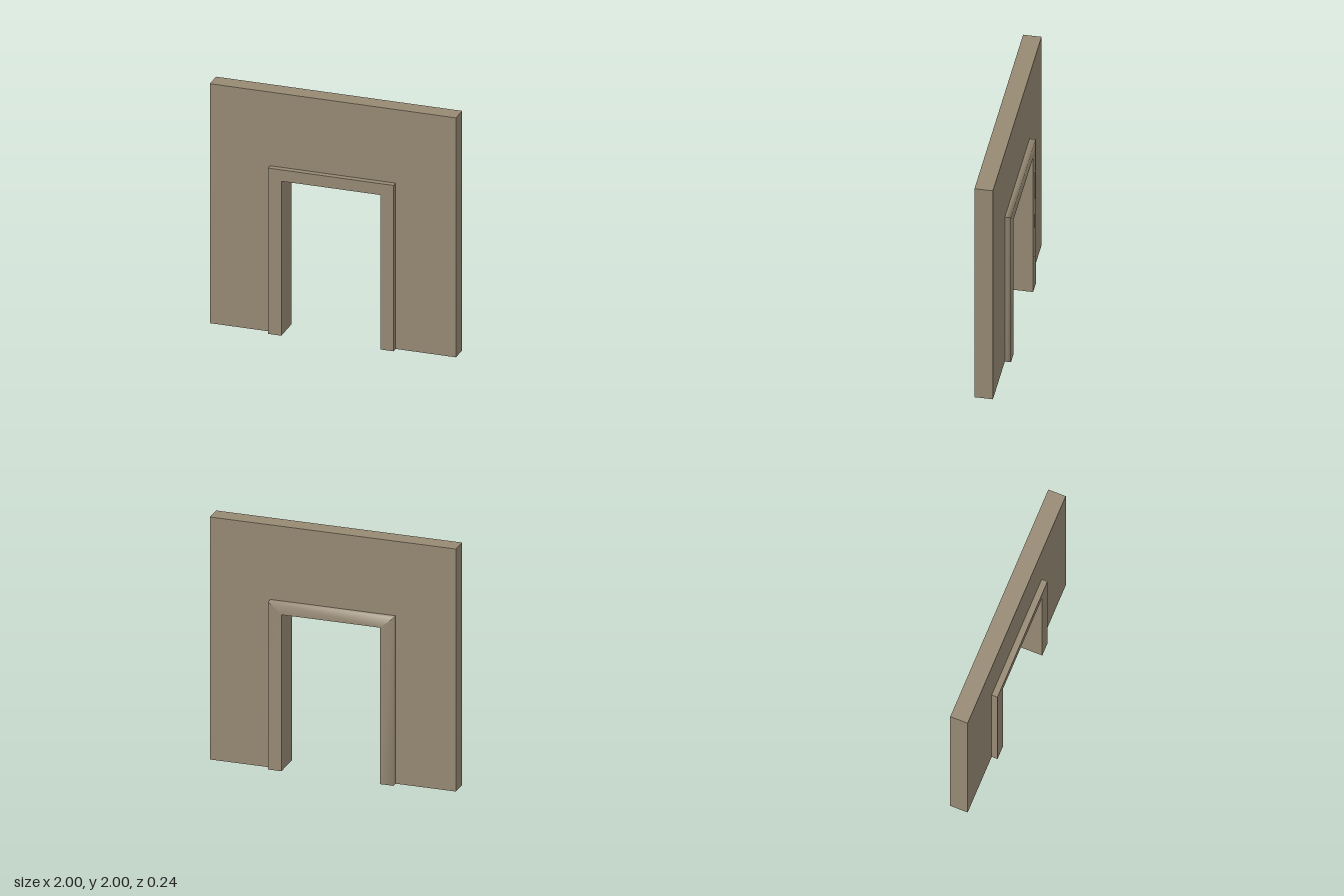
import * as THREE from 'three';

const WALL_Z = 0.072, TRIM_Z = 0.12;   // half depths
const IN_X = 0.402, IN_Y = 1.29;       // doorway opening
const OUT_X = 0.51, OUT_Y = 1.385;     // outer edge of the trim

const stone = new THREE.MeshStandardMaterial({ color: 0x978a74 });
stone.name = 'stone';

// Upside-down U outline standing on the ground
function archShape(ox, oy, ix, iy) {
  return new THREE.Shape([
    [-ox, 0], [-ix, 0], [-ix, iy], [ix, iy], [ix, 0], [ox, 0], [ox, oy], [-ox, oy],
  ].map(([x, y]) => new THREE.Vector2(x, y)));
}

function addArch(group, name, shape, z0, z1) {
  const geo = new THREE.ExtrudeGeometry(shape, { depth: z1 - z0, bevelEnabled: false });
  geo.translate(0, 0, z0);
  const mesh = new THREE.Mesh(geo, stone);
  mesh.name = name;
  group.add(mesh);
}

// Mitred trim board between two corners: its face and outer side share soft normals
function softBoard(inA, outA, inB, outB) {
  const row = (i, o) => [...i, -TRIM_Z, ...o, -TRIM_Z, ...o, -WALL_Z];
  const geo = new THREE.BufferGeometry();
  geo.setAttribute('position', new THREE.Float32BufferAttribute([...row(inA, outA), ...row(inB, outB)], 3));
  const index = [];
  for (let k = 0; k < 2; k++) index.push(k, k + 1, k + 4, k, k + 4, k + 3);
  geo.setIndex(index);
  geo.computeVertexNormals();
  return geo;
}

// Flat quad from four corners, counter-clockwise from its front
function quad(a, b, c, d) {
  const geo = new THREE.BufferGeometry();
  geo.setAttribute('position', new THREE.Float32BufferAttribute([...a, ...b, ...c, ...d], 3));
  geo.setIndex([0, 1, 2, 0, 2, 3]);
  geo.computeVertexNormals();
  return geo;
}

export function createModel() {
  const group = new THREE.Group();
  group.name = 'doorwayWall';

  // Wall with the doorway, and the crisp front trim
  addArch(group, 'wall', archShape(1, 2, IN_X, IN_Y), -WALL_Z, WALL_Z);
  addArch(group, 'frontTrim', archShape(OUT_X, OUT_Y, IN_X, IN_Y), WALL_Z, TRIM_Z);

  // Back trim with softened outer edges
  const back = new THREE.Group();
  back.name = 'backTrim';
  const add = (name, geo) => {
    const mesh = new THREE.Mesh(geo, stone);
    mesh.name = name;
    back.add(mesh);
  };
  const inner = [[-IN_X, 0], [-IN_X, IN_Y], [IN_X, IN_Y], [IN_X, 0]];
  const outer = [[-OUT_X, 0], [-OUT_X, OUT_Y], [OUT_X, OUT_Y], [OUT_X, 0]];
  ['rightJamb', 'lintel', 'leftJamb'].forEach((name, i) => {
    const a = inner[i], b = inner[i + 1];
    add(name, softBoard(a, outer[i], b, outer[i + 1]));
    // Flat reveal facing the opening
    add(name + 'Reveal', quad([...a, -TRIM_Z], [...b, -TRIM_Z], [...b, -WALL_Z], [...a, -WALL_Z]));
  });
  // Feet of the two jambs, facing down
  for (const [x0, x1] of [[-OUT_X, -IN_X], [IN_X, OUT_X]]) {
    add('jambFoot', quad([x0, 0, -TRIM_Z], [x1, 0, -TRIM_Z], [x1, 0, -WALL_Z], [x0, 0, -WALL_Z]));
  }
  group.add(back);
  return group;
}
